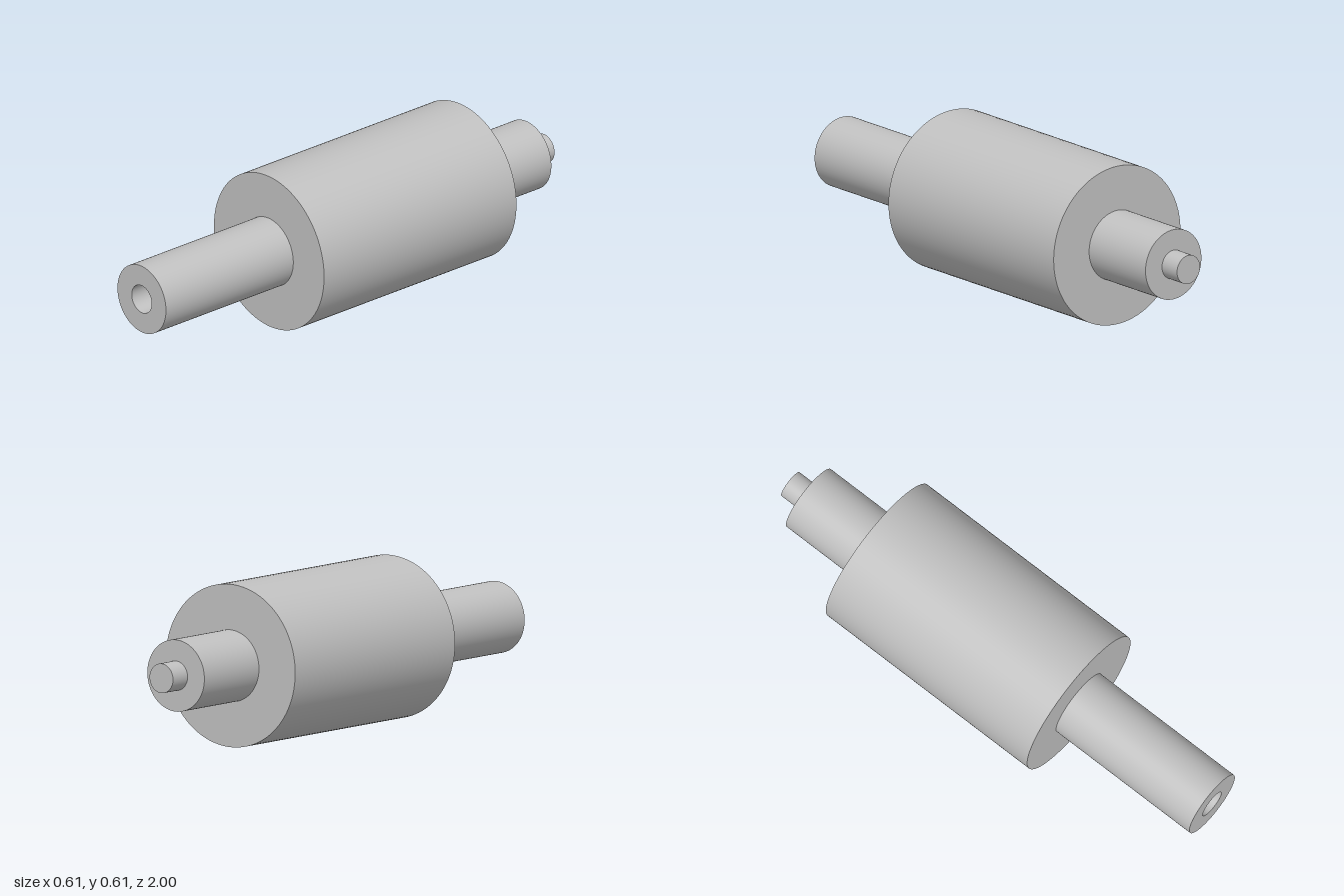
import * as THREE from 'three';
import { mergeGeometries } from 'three/addons/utils/BufferGeometryUtils.js';

const BODY_R = 0.304, SHAFT_R = 0.134, PIN_R = 0.055;
const PIN_END = -1, SHAFT_BACK = -0.913, BODY_BACK = -0.587, BODY_FRONT = 0.368, SHAFT_FRONT = 1;
const HOLE_DEPTH = 0.09;

// Revolves a [radius, z] profile (back to front) about the z axis, each segment sharp-edged
function turned(name, profile, material) {
  const bands = [];
  for (let i = 0; i < profile.length - 1; i++) {
    const ends = [profile[i], profile[i + 1]].map(([r, z]) => new THREE.Vector2(r, z));
    bands.push(new THREE.LatheGeometry(ends, 96));
  }
  const geometry = mergeGeometries(bands);
  geometry.rotateX(Math.PI / 2);
  const mesh = new THREE.Mesh(geometry, material);
  mesh.name = name;
  mesh.position.y = BODY_R;
  return mesh;
}

export function createModel() {
  const steel = new THREE.MeshStandardMaterial({ color: 0xc0c0c0 });
  steel.name = 'light grey steel';

  const group = new THREE.Group();
  group.name = 'steppedRoller';
  group.add(
    // Small locating pin with its end face
    turned('backPin', [[0, PIN_END], [PIN_R, PIN_END], [PIN_R, SHAFT_BACK]], steel),
    // Short journal with the shoulder around the pin
    turned('backShaft', [[PIN_R, SHAFT_BACK], [SHAFT_R, SHAFT_BACK], [SHAFT_R, BODY_BACK]], steel),
    // Large drum with both annular faces
    turned('rollerBody', [
      [SHAFT_R, BODY_BACK], [BODY_R, BODY_BACK], [BODY_R, BODY_FRONT], [SHAFT_R, BODY_FRONT],
    ], steel),
    // Long journal with a blind socket in its end
    turned('frontShaft', [
      [SHAFT_R, BODY_FRONT], [SHAFT_R, SHAFT_FRONT], [PIN_R, SHAFT_FRONT],
      [PIN_R, SHAFT_FRONT - HOLE_DEPTH], [0, SHAFT_FRONT - HOLE_DEPTH],
    ], steel),
  );
  return group;
}
